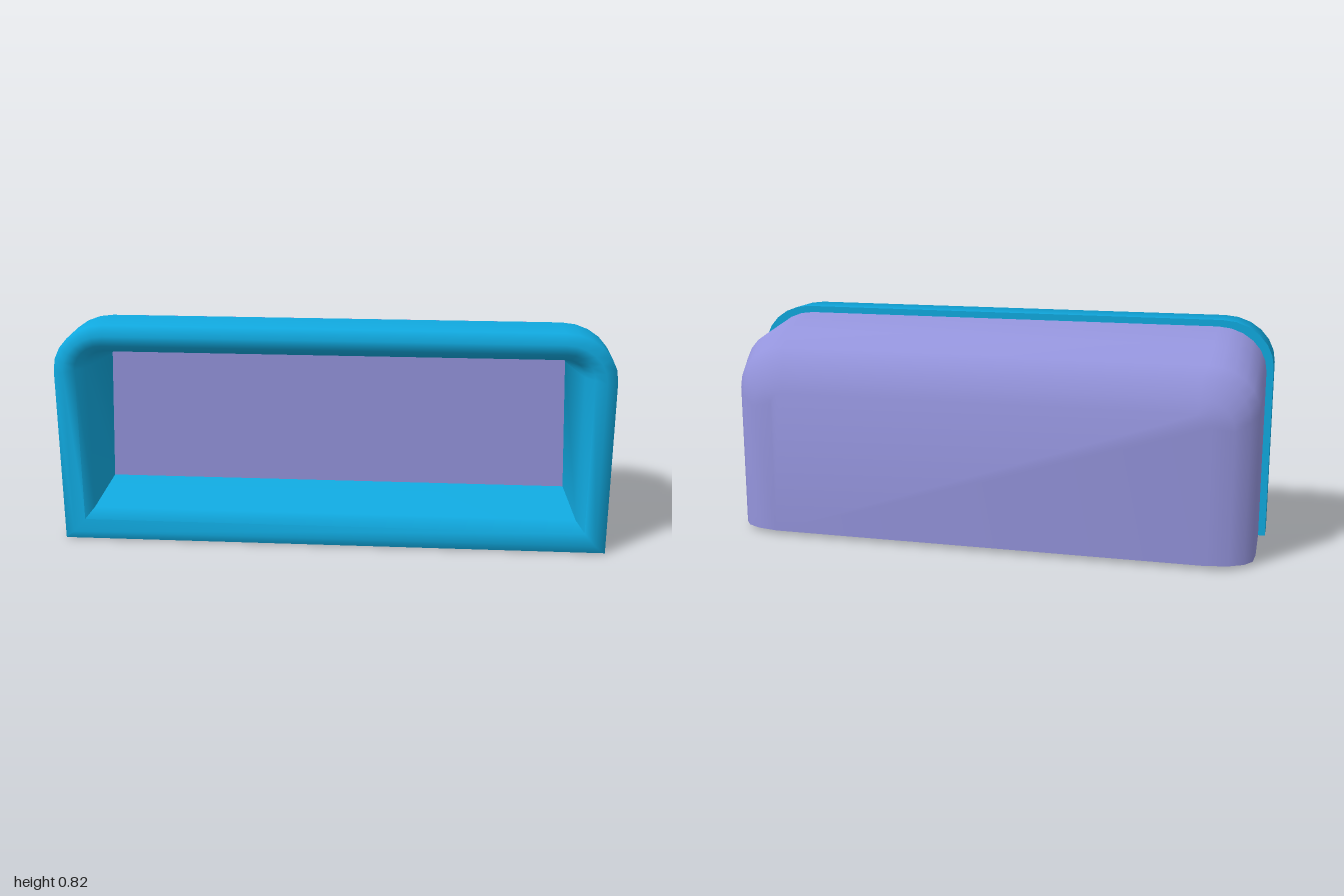
import * as THREE from 'three';
import { toCreasedNormals } from 'three/addons/utils/BufferGeometryUtils.js';

const ARC = 6;

// Arch-shaped cross-section: up the +x side, over the rounded top, down the -x side
function archRing({ z, w, t, b, r, foot = w }) {
  const pts = [[foot, b, z]];
  for (const side of [0, 1]) {
    for (let i = 0; i <= ARC; i++) {
      const a = (side + i / ARC) * Math.PI / 2;
      const cx = side ? -(w - r) : w - r;
      pts.push([cx + r * Math.cos(a), t - r * 0.9 + r * 0.9 * Math.sin(a), z]);
    }
  }
  pts.push([-foot, b, z]);
  return pts;
}

// Skin between successive arches; the first closedSpans spans also get a bottom side
function skinArches(specs, closedSpans, cap, crease) {
  const rings = specs.map(archRing);
  const n = rings[0].length;
  const index = [];
  for (let i = 0; i < rings.length - 1; i++) {
    const spans = i < closedSpans ? n : n - 1;
    for (let j = 0; j < spans; j++) {
      const k = (j + 1) % n;
      const a = i * n + j, b = i * n + k, c = a + n, d = b + n;
      index.push(a, c, b, b, c, d);
    }
  }
  if (cap) {
    const s = (rings.length - 1) * n;
    for (let j = 1; j < n - 1; j++) index.push(s, s + j + 1, s + j);
  }
  const geo = new THREE.BufferGeometry();
  geo.setAttribute('position', new THREE.Float32BufferAttribute(rings.flat(2), 3));
  geo.setIndex(index);
  return toCreasedNormals(geo, crease);
}

export function createModel() {
  const group = new THREE.Group();
  const blue = new THREE.MeshStandardMaterial({ name: 'blue', color: 0x10a8de, side: THREE.DoubleSide });
  const lilac = new THREE.MeshStandardMaterial({ name: 'lilac', color: 0x9494dc, side: THREE.DoubleSide });

  const add = (name, geo, mat) => {
    const mesh = new THREE.Mesh(geo, mat);
    mesh.name = name;
    group.add(mesh);
  };

  // Frame: funnel from the recessed panel, rounded front lip, outer flange, back step
  add('frame', skinArches([
    { z: 0.04, w: 0.84, foot: 0.86, t: 0.67, b: 0.175, r: 0.005 },
    { z: 0.235, w: 0.89, t: 0.725, b: 0.12, r: 0.07 },
    { z: 0.272, w: 0.92, t: 0.752, b: 0.085, r: 0.1 },
    { z: 0.285, w: 0.96, t: 0.79, b: 0.04, r: 0.15 },
    { z: 0.258, w: 1, t: 0.825, b: 0.003, r: 0.19 },
    { z: 0.105, w: 1, t: 0.827, b: 0.017, r: 0.19 },
    { z: 0.105, w: 0.975, t: 0.803, b: 0.017, r: 0.18 },
  ], 4, false, 1.1), blue);

  // Recessed panel at the back of the funnel
  const outline = [[-0.86, 0.175], [0.86, 0.175], [0.84, 0.67], [-0.84, 0.67]];
  const panel = new THREE.ShapeGeometry(new THREE.Shape(outline.map(p => new THREE.Vector2(...p))));
  panel.translate(0, 0, 0.04);
  add('recessedPanel', panel, lilac);

  // Rear shell: open underneath, rounding over to a flat back
  add('rearShell', skinArches([
    { z: 0.105, w: 0.975, t: 0.803, b: 0.017, r: 0.18 },
    { z: -0.13, w: 0.975, t: 0.77, b: 0.017, r: 0.18 },
    { z: -0.2, w: 0.968, t: 0.713, b: 0.017, r: 0.18 },
    { z: -0.24, w: 0.94, t: 0.68, b: 0.017, r: 0.17 },
    { z: -0.268, w: 0.89, t: 0.605, b: 0.017, r: 0.12 },
    { z: -0.285, w: 0.81, t: 0.555, b: 0.017, r: 0.05 },
  ], 0, true, 1.0), lilac);

  return group;
}
